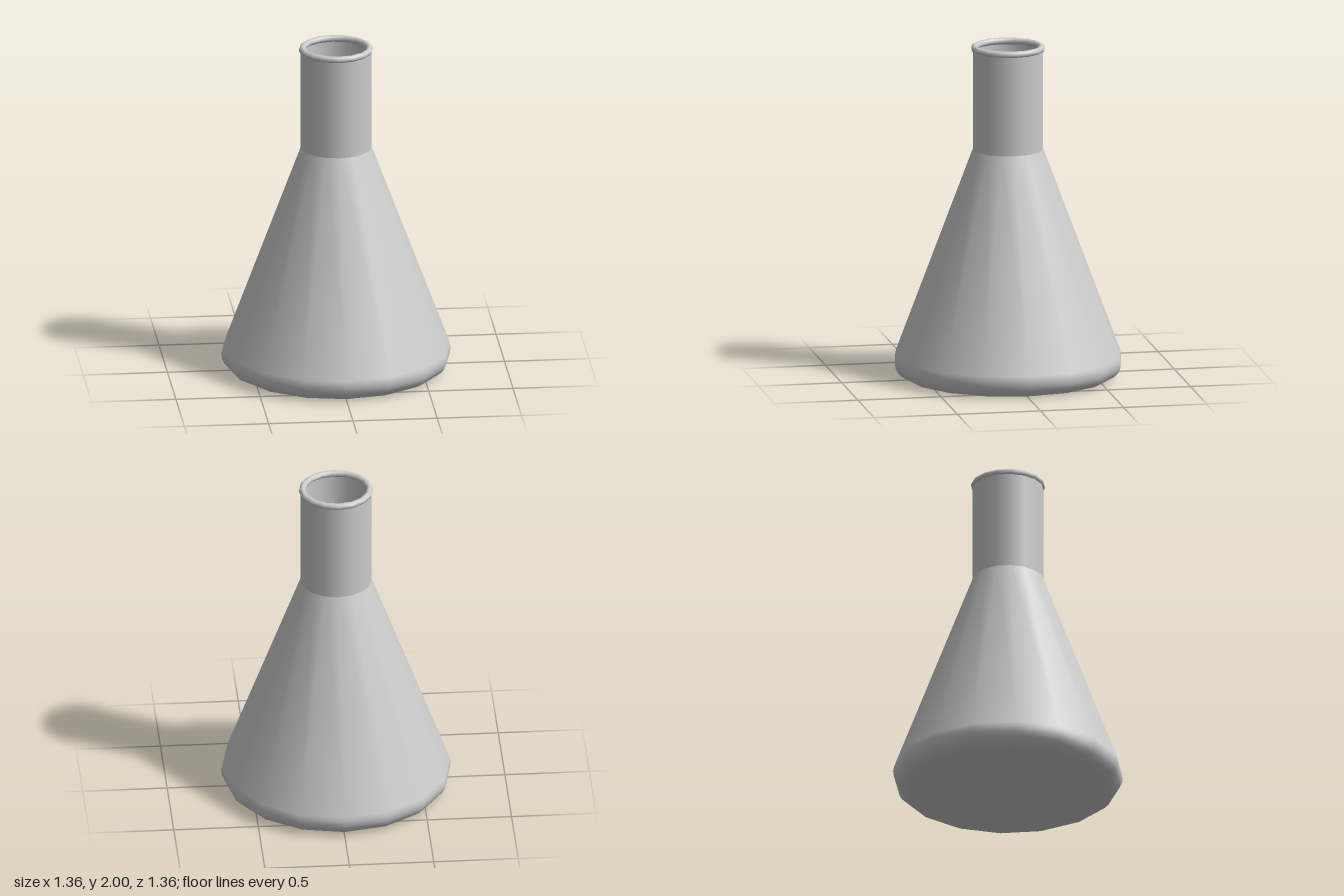
import * as THREE from 'three';

const SIDES = 16;

export function createModel() {
  const flask = new THREE.Group();
  flask.name = 'conicalFlask';
  const material = new THREE.MeshStandardMaterial({ color: 0xcccccc, side: THREE.DoubleSide });

  const add = (name, geometry) => {
    const mesh = new THREE.Mesh(geometry, material);
    mesh.name = name;
    flask.add(mesh);
    return mesh;
  };
  const lathe = (points) => new THREE.LatheGeometry(points, SIDES);

  // Conical body: rounded heel, then a straight taper up to the neck
  const heel = 0.1, heelCentre = 0.58, neckRadius = 0.21, shoulderY = 1.37;
  const profile = [];
  for (let i = 0; i <= 6; i++) {
    const a = THREE.MathUtils.degToRad(-90 + (i / 6) * 110.6);
    profile.push(new THREE.Vector2(heelCentre + heel * Math.cos(a), heel + heel * Math.sin(a)));
  }
  profile.push(new THREE.Vector2(neckRadius, shoulderY));
  add('body', lathe(profile));

  // Flat base closing the heel
  add('base', new THREE.CircleGeometry(heelCentre, SIDES).rotateX(Math.PI / 2));

  // Straight open neck
  add('neck', lathe([new THREE.Vector2(neckRadius, shoulderY), new THREE.Vector2(neckRadius, 1.98)]));

  // Rolled lip around the mouth
  add('lip', new THREE.TorusGeometry(0.2, 0.02, 10, SIDES).rotateX(Math.PI / 2)).position.y = 1.98;

  return flask;
}
